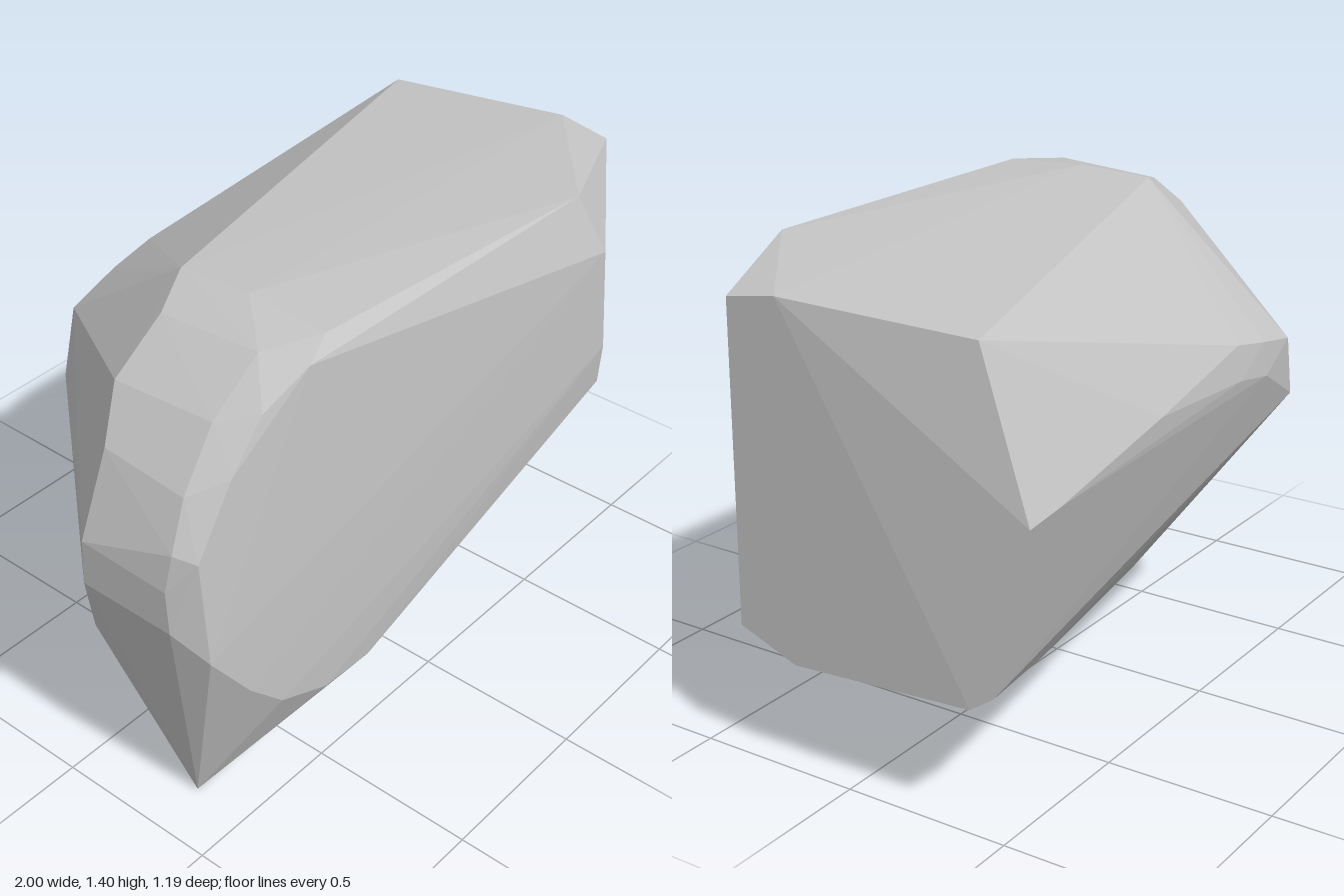
import * as THREE from 'three';
import { ConvexGeometry } from 'three/addons/geometries/ConvexGeometry.js';

// Corner loops of each cut side of the boulder
const loops = {
  rightCut: [
    [1, 1.31, 0.34], [1, 1.335, 0.18], [0.925, 1.3, -0.39], [0.97, 0.87, -0.565],
    [1, 0.355, -0.4], [1, 0.32, 0.17], [1, 0.39, 0.355],
  ],
  frontCut: [
    [0.57, 1.365, 0.525], [0.635, 1.18, 0.59], [0.675, 0.84, 0.592], [0.69, 0.7, 0.575],
    [-0.33, 0.28, 0.525], [-0.51, 0.285, 0.523], [-0.69, 0.36, 0.52], [-0.81, 0.48, 0.515],
    [-0.945, 0.66, 0.505], [-0.955, 0.98, 0.485], [-0.83, 1.17, 0.485], [-0.71, 1.295, 0.48],
    [-0.55, 1.362, 0.495],
  ],
  roundedShoulder: [
    [-1, 0.75, 0.42], [-1, 0.88, 0.41], [-0.98, 0.99, 0.42], [-0.91, 1.12, 0.4],
    [-0.78, 1.265, 0.38], [-0.6, 1.372, 0.37], [-0.44, 1.388, 0.455], [-0.44, 1.4, 0.2],
  ],
  backSlopeRim: [
    [-0.45, 1.387, -0.03], [-0.6, 1.35, 0.04], [-0.78, 1.24, 0.045], [-0.89, 1.12, 0.11],
    [-1, 0.89, 0.12], [-1, 0.75, 0.115], [-0.915, 0.51, 0.05], [-0.77, 0.36, 0.04],
  ],
  backRidge: [
    [-0.43, 0.81, -0.54], [-0.36, 1.0, -0.56], [-0.18, 0.94, -0.588], [-0.02, 0.97, -0.594],
    [-0.17, 1.04, -0.58], [-0.02, 1.07, -0.58], [0.4, 0.99, -0.59], [0.85, 0.89, -0.573],
  ],
  underside: [
    [-0.83, 0, 0.325], [-0.215, 0.225, -0.135], [0.555, 0.3, -0.325], [0.89, 0.335, -0.395],
  ],
};

export function createModel() {
  const group = new THREE.Group();
  group.name = 'boulder';
  const stone = new THREE.MeshStandardMaterial({ color: 0xc4c4c4 });
  stone.name = 'grey stone';

  // Single faceted stone: the hull of all corner loops
  const points = Object.values(loops).flat().map((p) => new THREE.Vector3(...p));
  const rock = new THREE.Mesh(new ConvexGeometry(points), stone);
  rock.name = 'rock';
  group.add(rock);
  return group;
}
